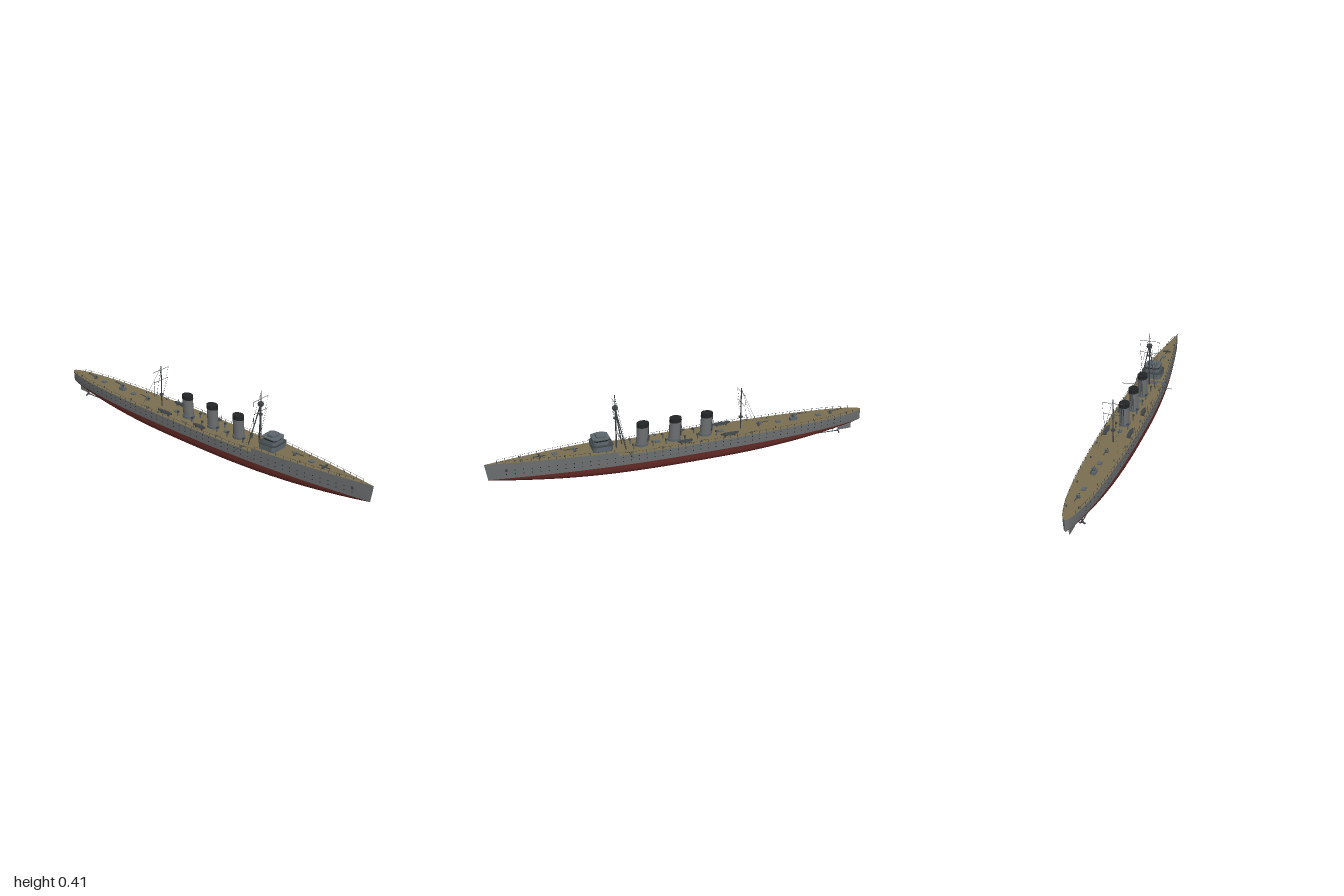
import * as THREE from 'three';

const mat = (name, color, side = THREE.FrontSide) => {
  const m = new THREE.MeshStandardMaterial({ color, side });
  m.name = name;
  return m;
};

export function createModel() {
  const ship = new THREE.Group();
  ship.name = 'cruiser';
  const grey = mat('hull grey', 0x6c6f70), red = mat('bottom red', 0x642a25, THREE.DoubleSide);
  const tan = mat('deck tan', 0x7a6e50), blue = mat('superstructure grey', 0x5c666c);
  const dark = mat('dark metal', 0x3f4447), black = mat('black', 0x222426);

  const add = (name, geo, m, x = 0, y = 0, z = 0, parent = ship) => {
    const mesh = new THREE.Mesh(geo, m);
    mesh.name = name;
    mesh.position.set(x, y, z);
    parent.add(mesh);
    return mesh;
  };
  const box = (name, m, sx, sy, sz, x, y, z, parent) => add(name, new THREE.BoxGeometry(sx, sy, sz), m, x, y, z, parent);
  const cyl = (name, m, r1, r2, h, x, y, z, seg = 12, parent = ship) =>
    add(name, new THREE.CylinderGeometry(r1, r2, h, seg), m, x, y, z, parent);
  const rod = (name, m, a, b, r, parent = ship) => {
    const p = new THREE.Vector3(...a), q = new THREE.Vector3(...b);
    const mesh = cyl(name, m, r, r, p.distanceTo(q), 0, 0, 0, 6, parent);
    mesh.position.copy(p).add(q).multiplyScalar(0.5);
    mesh.quaternion.setFromUnitVectors(new THREE.Vector3(0, 1, 0), q.sub(p).normalize());
    return mesh;
  };

  // Hull lines
  const WL = 0.06, STEP = 0.36;
  const half = x => 0.088 * (x > 0 ? 1 - x * x : Math.pow(Math.max(0, 1 - Math.pow(-x, 2.6)), 0.55));
  const waterHalf = x => half(x) * (0.98 - 0.22 * Math.pow(Math.abs(x), 5));
  const keel = x => x > 0 ? 0.059 * Math.pow(Math.max(0, (x - 0.15) / 0.85), 2.5) : 0.056 * Math.pow(Math.max(0, (-x - 0.2) / 0.8), 2);
  const deckY = x => x < STEP ? 0.115 : 0.136 + 0.009 * (x - STEP) / (1 - STEP);
  const rake = (x, y) => x > 0.9 ? x - (x - 0.9) * 1.5 * (0.145 - y) : x;

  // Skin between cross-sections
  const skin = (name, m, x0, x1, section) => {
    const pos = [], idx = [], N = 48;
    let cols = 0;
    for (let i = 0; i <= N; i++) {
      let t = i / N;
      if (x0 === -1) t = Math.pow(t, 1.5);
      const pts = section(x0 + (x1 - x0) * t, x1 === STEP);
      cols = pts.length;
      pts.forEach(p => pos.push(...p));
    }
    for (let i = 0; i < N; i++) for (let j = 0; j < cols - 1; j++) {
      const a = i * cols + j, b = a + cols;
      idx.push(a, b, b + 1, a, b + 1, a + 1);
    }
    const g = new THREE.BufferGeometry();
    g.setAttribute('position', new THREE.Float32BufferAttribute(pos, 3));
    g.setIndex(idx);
    g.computeVertexNormals();
    return add(name, g, m);
  };
  skin('hullBottom', red, -1, 1, x => {
    const n = 3.6 - 2 * x * x, pts = [];
    for (let k = -10; k <= 10; k++) {
      const a = Math.abs(k) / 10 * Math.PI / 2;
      const z = Math.sign(k) * waterHalf(x) * Math.pow(Math.sin(a), 2 / n);
      const y = WL - (WL - keel(x)) * Math.pow(Math.max(0, Math.cos(a)), 2 / n);
      pts.push([rake(x, y), y, z]);
    }
    return pts;
  });
  [[-1, STEP], [STEP, 1]].forEach(([a, b]) => {
    const top = (x, aft) => aft ? 0.115 : deckY(x);
    for (const s of [1, -1]) skin('hullSide', grey, a, b, (x, aft) => {
      const pts = [0, 0.33, 0.67, 1].map(t => {
        const y = WL + (top(x, aft) - WL) * t;
        return [rake(x, y), y, s * (waterHalf(x) + (half(x) - waterHalf(x)) * Math.sqrt(t))];
      });
      return s > 0 ? pts : pts.reverse();
    });
    skin('deck', tan, a, b, (x, aft) => [1, 0, -1].map(s => [x, top(x, aft), s * half(x)]));
  });
  box('forecastleBulkhead', grey, 0.004, 0.021, half(STEP) * 2 - 0.001, STEP + 0.002, 0.1253, 0);

  // Portholes, anchors, and deck rails on both sides
  for (const s of [1, -1]) {
    for (let x = -0.86; x < 0.93; x += 0.04) for (const y of [0.083, 0.104]) {
      const t = (y - WL) / (deckY(x) - WL);
      const z = waterHalf(x) + (half(x) - waterHalf(x)) * Math.sqrt(t);
      const p = cyl('porthole', black, 0.0026, 0.0026, 0.003, rake(x, y), y, s * z, 8);
      p.rotation.x = Math.PI / 2;
    }
    box('anchor', dark, 0.012, 0.014, 0.006, 0.9, 0.105, s * (half(0.9) - 0.001));
    let last = null;
    for (let x = -0.94; x < 0.97; x += 0.04) {
      const y = deckY(x), z = s * (half(x) - 0.003), p = [x, y + 0.012, z];
      rod('railPost', dark, [x, y, z], p, 0.0011);
      if (last && !(last[0] < STEP && x >= STEP)) rod('rail', dark, last, p, 0.0005);
      last = p;
    }
    rod('boatBoom', dark, [0.31, 0.127, s * 0.07], [0.305, 0.127, s * 0.137], 0.0016);
    box('bridgeWingStair', tan, 0.05, 0.003, 0.02, 0.335, 0.126, s * 0.055);
  }

  // Funnels, leaning slightly aft
  for (const x of [-0.115, 0.052, 0.222]) {
    const f = new THREE.Group();
    f.name = 'funnel';
    f.position.set(x, 0.115, 0);
    f.scale.z = 0.83;
    ship.add(f);
    const ring = (name, m, r, y0, y1) => {
      const g = new THREE.CylinderGeometry(r, r, y1 - y0, 20);
      g.translate(0, (y0 + y1) / 2, 0);
      const p = g.attributes.position;
      for (let i = 0; i < p.count; i++) p.setX(i, p.getX(i) - 0.07 * p.getY(i));
      add(name, g, m, 0, 0, 0, f);
    };
    ring('funnelBase', blue, 0.034, 0, 0.012);
    ring('funnelTrunk', grey, 0.029, 0.01, 0.102);
    ring('funnelCap', black, 0.0305, 0.1, 0.121);
    for (const s of [1, -1]) {
      rod('steamPipe', dark, [-0.031, 0, s * 0.006], [-0.038, 0.108, s * 0.006], 0.002, f);
      for (const dx of [-0.05, 0.05]) {
        cyl('ventilator', blue, 0.004, 0.004, 0.022, x + dx, 0.126, s * 0.03, 8);
        const c = cyl('ventCowl', dark, 0.0065, 0.004, 0.009, x + dx + 0.002, 0.139, s * 0.03, 8);
        c.rotation.z = -Math.PI / 2;
      }
    }
  }

  // Bridge: stacked tiers with chamfered plan
  const tier = (name, m, x0, x1, hz, y0, y1, c = 0.012) => {
    const s = new THREE.Shape([[x0 + c, -hz], [x1 - c, -hz], [x1, c - hz], [x1, hz - c], [x1 - c, hz], [x0 + c, hz], [x0, hz - c], [x0, c - hz]]
      .map(p => new THREE.Vector2(...p)));
    const g = new THREE.ExtrudeGeometry(s, { depth: y1 - y0, bevelEnabled: false });
    g.rotateX(-Math.PI / 2);
    add(name, g, m, 0, y0, 0);
  };
  tier('bridgeLower', blue, 0.38, 0.478, 0.052, 0.134, 0.165);
  tier('bridgeDeck', dark, 0.376, 0.481, 0.054, 0.165, 0.168);
  tier('bridgeUpper', blue, 0.392, 0.472, 0.04, 0.168, 0.186);
  tier('bridgeWindows', black, 0.393, 0.471, 0.039, 0.186, 0.194);
  tier('bridgeRoof', blue, 0.39, 0.475, 0.041, 0.194, 0.199);
  tier('compassHouse', blue, 0.41, 0.455, 0.026, 0.199, 0.21, 0.006);
  for (let i = -3; i <= 3; i++) box('windowPost', blue, 0.002, 0.008, 0.003, 0.4715, 0.19, i * 0.009);

  // Foremast tripod, spotting tops, yards and rigging
  const FX = 0.352, MX = -0.308;
  rod('foremast', dark, [FX, 0.115, 0], [FX - 0.002, 0.345, 0], 0.0036);
  rod('foreTopmast', dark, [FX, 0.34, 0], [FX, 0.408, 0], 0.0018);
  for (const s of [1, -1]) rod('tripodLeg', dark, [FX - 0.04, 0.115, s * 0.042], [FX, 0.335, s * 0.002], 0.0028);
  cyl('spottingTop', dark, 0.015, 0.012, 0.013, FX, 0.335, 0, 14);
  cyl('spottingRoof', dark, 0.013, 0.013, 0.002, FX, 0.346, 0, 14);
  cyl('searchlightPlatform', dark, 0.011, 0.009, 0.006, FX, 0.283, 0, 12);
  rod('mainmast', dark, [MX, 0.115, 0], [MX, 0.34, 0], 0.0028);
  cyl('mainmastPlatform', dark, 0.012, 0.01, 0.006, MX, 0.18, 0, 12);
  [[FX, 0.365, 0.053], [FX, 0.3, 0.049], [MX, 0.32, 0.053], [MX, 0.262, 0.049]].forEach(([x, y, w]) => {
    rod('yard', dark, [x, y, -w], [x, y, w], 0.0012);
    for (const s of [1, -1]) rod('halyard', dark, [x, y, s * w], [x - 0.02, 0.16, s * 0.03], 0.0004);
  });
  for (const s of [1, -1]) {
    rod('foreStay', dark, [FX, 0.4, 0], [FX - 0.04, 0.115, s * 0.06], 0.0005);
    rod('mainStay', dark, [MX, 0.335, 0], [MX - 0.09, 0.115, s * 0.05], 0.0005);
  }

  // Deck guns: pedestal, shield and barrel
  const gun = (x, dir, y, z = 0, k = 1) => {
    const g = new THREE.Group();
    g.name = 'deckGun';
    g.position.set(x, y, z);
    g.scale.set(dir * k, k, dir * k);
    ship.add(g);
    cyl('gunPedestal', dark, 0.005, 0.008, 0.012, 0, 0.006, 0, 10, g);
    box('gunShield', blue, 0.01, 0.012, 0.015, 0.004, 0.013, 0, g);
    rod('gunBarrel', dark, [-0.015, 0.014, 0], [0.055, 0.016, 0], 0.0022, g);
  };
  gun(-0.82, -1, 0.115);
  gun(-0.605, -1, 0.129);
  gun(-0.41, -1, 0.115);
  gun(0.56, 1, deckY(0.56));
  tier('aftDeckhouse', blue, -0.625, -0.585, 0.012, 0.115, 0.13, 0.003);
  for (const s of [1, -1]) for (const x of [-0.34, -0.07, 0.13, 0.29]) gun(x, x < 0 ? -1 : 1, 0.115, s * 0.07, 0.55);

  // Capstans, hatches and bollards
  box('anchorChainPlate', dark, 0.06, 0.003, 0.006, 0.735, 0.143, 0);
  box('windlass', dark, 0.008, 0.008, 0.04, 0.735, 0.144, 0);
  for (const x of [-0.75, -0.52, -0.2, 0.14, 0.66]) box('hatch', blue, 0.025, 0.007, 0.02, x, deckY(x) + 0.003, 0);
  for (const s of [1, -1]) for (const x of [-0.9, -0.7, -0.48, 0.62, 0.83])
    cyl('bollard', dark, 0.003, 0.003, 0.008, x, deckY(x) + 0.004, s * half(x) * 0.7, 8);

  // Ship's boats on chocks
  for (const s of [1, -1]) [[-0.225, 0.1], [0.013, 0.08]].forEach(([x, len]) => {
    const g = new THREE.SphereGeometry(1, 16, 6, 0, Math.PI * 2, Math.PI / 2, Math.PI / 2);
    add('boat', g, blue, x, 0.131, s * 0.06).scale.set(len / 2, 0.013, 0.0105);
    const c = cyl('boatCover', dark, 1, 1, 1, x, 0.1305, s * 0.06, 16);
    c.scale.set(len / 2, 0.003, 0.0105);
    for (const d of [-0.25, 0.25]) {
      box('boatChock', dark, 0.004, 0.01, 0.016, x + d * len, 0.119, s * 0.06);
      rod('davit', dark, [x + d * len * 1.4, 0.115, s * 0.076], [x + d * len * 1.4, 0.146, s * 0.072], 0.0012);
    }
  });

  // Rudder, shafts and propellers
  box('rudder', grey, 0.068, 0.038, 0.005, -0.915, 0.029, 0);
  rod('rudderStock', dark, [-0.9, 0.04, 0], [-0.9, 0.07, 0], 0.003);
  for (const s of [1, -1]) {
    rod('propellerShaft', dark, [-0.66, 0.026, s * 0.026], [-0.86, 0.022, s * 0.028], 0.0022);
    rod('shaftStrut', dark, [-0.83, 0.022, s * 0.028], [-0.83, 0.056, s * 0.014], 0.002);
    for (let i = 0; i < 3; i++) {
      const b = box('propellerBlade', dark, 0.003, 0.016, 0.008, -0.86, 0.022, s * 0.028);
      b.rotation.x = i * Math.PI * 2 / 3;
      b.translateY(0.008);
    }
  }
  return ship;
}
